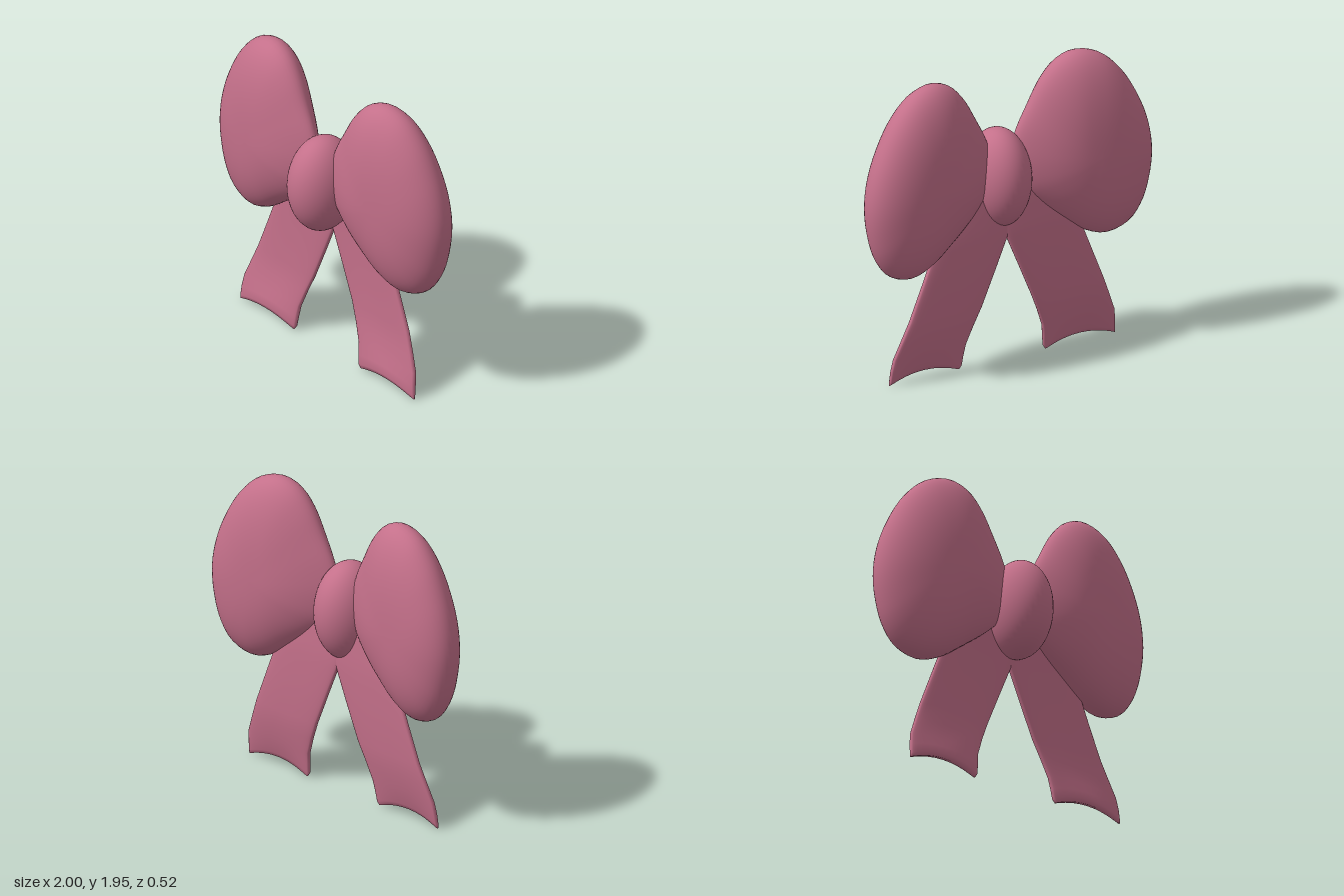
import * as THREE from 'three';

const material = new THREE.MeshStandardMaterial({ color: 0xc4708a, roughness: 0.8 });

// Smooth skin over closed loops; point(i, j) returns [x, y, z]. side = -1 mirrors it in x.
function loft(rows, cols, side, point) {
  const positions = [], index = [];
  for (let i = 0; i < rows; i++) {
    for (let j = 0; j < cols; j++) {
      const [x, y, z] = point(i, j);
      positions.push(side * x, y, z);
      if (i === rows - 1) continue;
      const k = (j + 1) % cols;
      const a = i * cols + j, b = a + cols, c = (i + 1) * cols + k, d = i * cols + k;
      if (side > 0) index.push(a, b, c, a, c, d);
      else index.push(a, c, b, a, d, c);
    }
  }
  const geometry = new THREE.BufferGeometry();
  geometry.setAttribute('position', new THREE.Float32BufferAttribute(positions, 3));
  geometry.setIndex(index);
  geometry.computeVertexNormals();
  return geometry;
}

// Puffy egg-shaped loop: a front outline, swollen in z and swept slightly back
const outline = new THREE.CatmullRomCurve3([
  [1.0, 1.23], [0.98, 1.4], [0.92, 1.58], [0.8, 1.79], [0.66, 1.92], [0.51, 1.96],
  [0.39, 1.92], [0.29, 1.82], [0.19, 1.65], [0.1, 1.47], [0.06, 1.3], [0.1, 1.14],
  [0.21, 1.02], [0.4, 0.87], [0.55, 0.765], [0.69, 0.72], [0.84, 0.77], [0.93, 0.89], [0.98, 1.05],
].map(([x, y]) => new THREE.Vector3(x, y, 0)), true);

function lobeGeometry(side) {
  const rows = 33, cols = 72;
  const rim = outline.getSpacedPoints(cols);
  return loft(rows, cols, side, (i, j) => {
    const phi = Math.PI * i / (rows - 1);
    const r = Math.min(1, Math.sin(phi));
    const x = 0.58 + (rim[j].x - 0.58) * r;
    const y = 1.3 + (rim[j].y - 1.3) * r;
    const taper = 1 - 2.8 * Math.max(0, 0.5 - x) ** 2;
    const swell = 0.205 * taper * Math.sqrt(Math.max(0, 1 - r ** 2.5));
    return [x, y, 0.005 - 0.1 * x + Math.sign(Math.cos(phi)) * swell];
  });
}

// Ribbon tail sections: y, inner x, outer x, z, half thickness, notch weight
const tailRows = [
  [1.12, -0.04, 0.28, -0.06, 0.02, 0],
  [0.95, -0.04, 0.46, -0.07, 0.024, 0],
  [0.84, 0.0, 0.52, -0.075, 0.025, 0],
  [0.65, 0.08, 0.595, -0.075, 0.025, 0],
  [0.42, 0.177, 0.687, -0.072, 0.025, 0],
  [0.3, 0.228, 0.735, -0.058, 0.025, 0],
  [0.18, 0.272, 0.782, -0.042, 0.025, 0.3],
  [0.1, 0.283, 0.793, -0.03, 0.025, 0.7],
  [0.035, 0.29, 0.798, -0.023, 0.022, 1],
  [0.01, 0.305, 0.8, -0.022, 0.012, 1],
  [0.012, 0.31, 0.797, -0.022, 0, 1],
];
const power = (v, p) => Math.sign(v) * Math.abs(v) ** p;

function tailGeometry(side) {
  const cols = 40;
  return loft(tailRows.length, cols, side, (i, j) => {
    const [y, inner, outer, z, half, notch] = tailRows[i];
    const t = 2 * Math.PI * j / cols;
    const u = -power(Math.cos(t), 0.8);
    const bulge = notch * (1 - u * u);
    return [
      (inner + outer) / 2 + u * (outer - inner) / 2,
      y + 0.05 * bulge,
      z + 0.012 * bulge + half * power(Math.sin(t), 0.45),
    ];
  });
}

export function createModel() {
  const group = new THREE.Group();
  group.name = 'ribbonBow';
  const add = (name, geometry) => {
    const mesh = new THREE.Mesh(geometry, material);
    mesh.name = name;
    group.add(mesh);
    return mesh;
  };

  // Centre knot
  const knot = add('knot', new THREE.SphereGeometry(1, 40, 28));
  knot.scale.set(0.195, 0.32, 0.235);
  knot.position.set(0, 1.207, 0.02);

  // Mirrored loops and tails
  for (const [label, side] of [['left', 1], ['right', -1]]) {
    add(label + 'Loop', lobeGeometry(side));
    add(label + 'Tail', tailGeometry(side));
  }
  return group;
}
